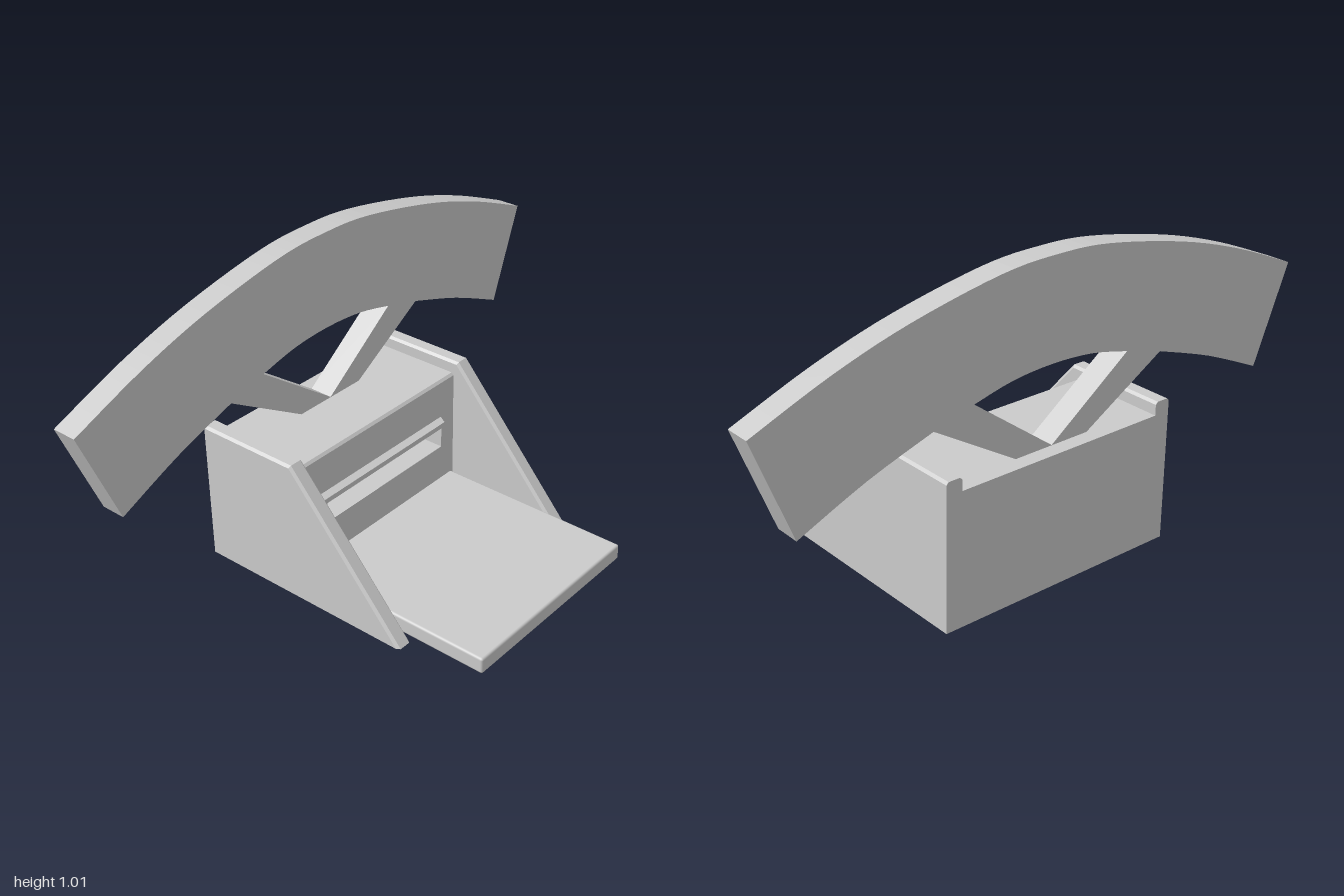
import * as THREE from 'three';
import { RoundedBoxGeometry } from 'three/addons/geometries/RoundedBoxGeometry.js';

const solid = new THREE.MeshStandardMaterial({ color: 0xcccccc });
const sheet = new THREE.MeshStandardMaterial({ color: 0xcccccc, side: THREE.DoubleSide });

const vectors = (pts) => pts.map(([x, y]) => new THREE.Vector2(x, y));
const mirrorX = (pts) => pts.map((p) => new THREE.Vector2(-p.x, p.y)).reverse();

function addMesh(group, name, geometry, material, x = 0, y = 0, z = 0) {
  const mesh = new THREE.Mesh(geometry, material);
  mesh.name = name;
  mesh.position.set(x, y, z);
  group.add(mesh);
  return mesh;
}

// Rectangle outline centred on x = 0
function rect(halfWidth, y0, y1) {
  return vectors([[-halfWidth, y0], [halfWidth, y0], [halfWidth, y1], [-halfWidth, y1]]);
}

function shapeWithHole(outline, hole) {
  const shape = new THREE.Shape(outline);
  if (hole) shape.holes.push(new THREE.Path(hole));
  return shape;
}

// Faceted skin between successive rows of [x, y, z] points
function skin(rows) {
  const positions = [];
  for (let i = 0; i < rows.length - 1; i++) {
    for (let j = 0; j < rows[i].length - 1; j++) {
      const [a, b, c, d] = [rows[i][j], rows[i][j + 1], rows[i + 1][j + 1], rows[i + 1][j]];
      positions.push(...a, ...b, ...c, ...a, ...c, ...d);
    }
  }
  const geometry = new THREE.BufferGeometry();
  geometry.setAttribute('position', new THREE.Float32BufferAttribute(positions, 3));
  geometry.computeVertexNormals();
  return geometry;
}

export function createModel() {
  const model = new THREE.Group();
  const outer = 0.427, inner = 0.372, bevel = 0.008;
  const backZ = -0.513, wallZ = -0.17, topY = 0.432;

  // Side panels: outer and inner faces joined by a chamfered rim, in [z, y]
  const rim = [[0.26, 0], [-0.155, 0.475], [backZ, 0.475]];
  const inset = [[0.248, 0], [-0.159, 0.467], [backZ, 0.467]];
  const outerFace = [...inset, [backZ, 0]];
  const innerFace = [...inset, [backZ, topY], [wallZ, topY], [wallZ, 0]];
  for (const side of [-1, 1]) {
    const panel = new THREE.Group();
    panel.name = side > 0 ? 'leftSidePanel' : 'rightSidePanel';
    model.add(panel);
    for (const [name, face, x] of [['outerFace', outerFace, outer], ['innerFace', innerFace, inner]]) {
      const shape = new THREE.Shape(vectors(face.map(([z, y]) => [-z, y])));
      addMesh(panel, name, new THREE.ShapeGeometry(shape).rotateY(Math.PI / 2), sheet, side * x);
    }
    const row = (x, path) => path.map(([z, y]) => [side * x, y, z]);
    addMesh(panel, 'rim', skin([row(outer, inset), row(outer - bevel, rim),
      row(inner + bevel, rim), row(inner, inset)]), sheet);
  }

  // Housing shell, open underneath
  const backHalf = vectors([[outer, 0], [outer, 0.467], [outer - bevel, 0.475],
    [inner + bevel, 0.475], [inner, 0.467], [inner, topY]]);
  addMesh(model, 'backWall', new THREE.ShapeGeometry(new THREE.Shape([...backHalf, ...mirrorX(backHalf)])),
    sheet, 0, 0, backZ);
  addMesh(model, 'frontWall', new THREE.ShapeGeometry(
    shapeWithHole(rect(inner, 0, topY - bevel), rect(0.305, 0.175, 0.295))), sheet, 0, 0, wallZ);
  const topProfile = [[topY - bevel, wallZ], [topY, wallZ - bevel], [topY, backZ]];
  addMesh(model, 'topPanel', skin([-inner, inner].map((x) => topProfile.map(([y, z]) => [x, y, z]))), sheet);

  // Slot: raised bevelled frame leading into a closed recess
  const slotRow = (halfWidth, y0, y1, z) => {
    const points = rect(halfWidth, y0, y1).map((p) => [p.x, p.y, z]);
    return [...points, points[0]];
  };
  addMesh(model, 'slotFrame', skin([slotRow(0.305, 0.175, 0.295, wallZ), slotRow(0.297, 0.183, 0.287, -0.147),
    slotRow(0.28, 0.2, 0.27, -0.147), slotRow(0.28, 0.2, 0.27, -0.24)]), sheet);
  addMesh(model, 'slotBack', new THREE.ShapeGeometry(new THREE.Shape(rect(0.28, 0.2, 0.27))), sheet, 0, 0, -0.24);

  // Front tray
  addMesh(model, 'tray', new RoundedBoxGeometry(0.72, 0.055, 0.685, 2, 0.008), solid, 0, 0.03, 0.173);

  // Arched board and its V-shaped braces, cut from one sheet
  const topCurve = new THREE.SplineCurve(vectors([[-1, 0.76], [-0.75, 0.86], [-0.5, 0.936],
    [-0.2, 0.996], [0, 1.008], [0.2, 0.996], [0.5, 0.936], [0.75, 0.86], [1, 0.76]]));
  const lowerCurve = new THREE.SplineCurve(vectors([[0.43, 0.608], [0.65, 0.534], [0.872, 0.438]]));
  const half = [new THREE.Vector2(0.13, 0.428), ...lowerCurve.getPoints(8)];
  const outline = [...half, ...topCurve.getPoints(40).reverse(), ...mirrorX(half)];
  const opening = [new THREE.Vector2(0, 0.433),
    ...new THREE.SplineCurve(vectors([[0.29, 0.646], [0.15, 0.677], [0, 0.687],
      [-0.15, 0.677], [-0.29, 0.646]])).getPoints(16)];
  addMesh(model, 'archedBoard', new THREE.ExtrudeGeometry(shapeWithHole(outline, opening),
    { depth: 0.083, bevelEnabled: false }), solid, 0, 0, -0.463);

  return model;
}
